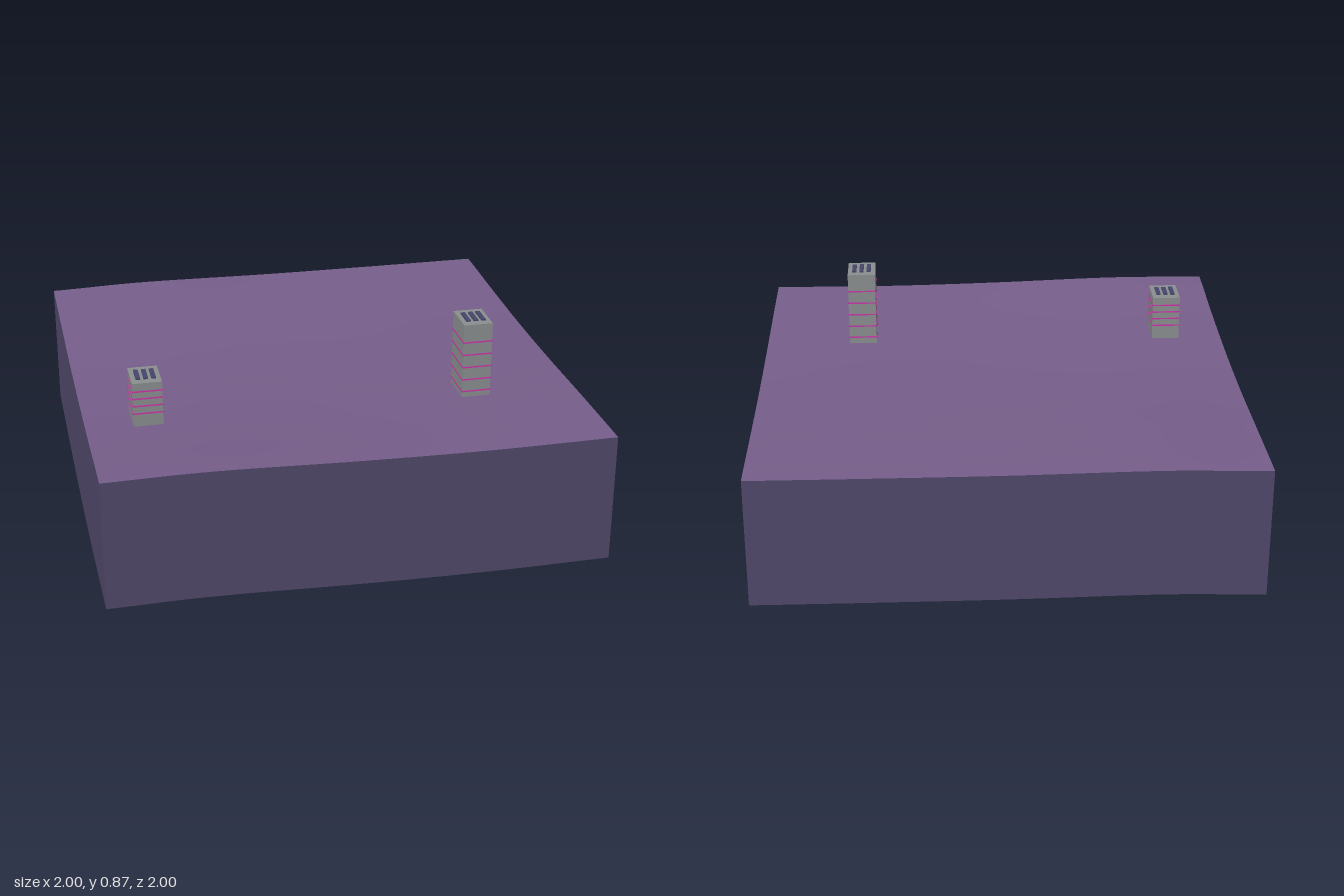
import * as THREE from 'three';

const mat = (name, color, side = THREE.FrontSide) => {
  const m = new THREE.MeshStandardMaterial({ color, side });
  m.name = name;
  return m;
};

// Ground height: profiles running back to front (z = -1 .. 1), blended across x
const THICKNESS = 0.535;
const COLUMNS = [-1, -0.6, 0, 0.5, 1];
const PROFILES = [
  [0.556, 0.546, 0.536, 0.541, 0.560, 0.588],
  [0.565, 0.553, 0.540, 0.544, 0.562, 0.591],
  [0.557, 0.547, 0.539, 0.541, 0.554, 0.573],
  [0.555, 0.546, 0.541, 0.543, 0.554, 0.564],
  [0.555, 0.546, 0.541, 0.546, 0.558, 0.566],
];

function smoothSample(values, t) {
  const i = Math.min(values.length - 2, Math.max(0, Math.floor(t)));
  const at = (k) => values[Math.min(values.length - 1, Math.max(0, k))];
  const f = t - i, p0 = at(i - 1), p1 = at(i), p2 = at(i + 1), p3 = at(i + 2);
  return p1 + 0.5 * f * (p2 - p0 + f * (2 * p0 - 5 * p1 + 4 * p2 - p3 + f * (3 * (p1 - p2) + p3 - p0)));
}

function groundHeight(x, z) {
  const row = PROFILES.map((p) => smoothSample(p, ((z + 1) / 2) * (p.length - 1)));
  let i = 0;
  while (i < COLUMNS.length - 2 && x > COLUMNS[i + 1]) i++;
  return smoothSample(row, i + (x - COLUMNS[i]) / (COLUMNS[i + 1] - COLUMNS[i]));
}

// Gently rolling top surface
function groundGeometry() {
  const g = new THREE.PlaneGeometry(2, 2, 32, 32).rotateX(-Math.PI / 2);
  const p = g.attributes.position;
  for (let i = 0; i < p.count; i++) p.setY(i, groundHeight(p.getX(i), p.getZ(i)));
  g.computeVertexNormals();
  return g;
}

// Wall whose upper and lower rims both follow the ground edge
function wallGeometry(angle) {
  const g = new THREE.PlaneGeometry(2, 1, 32, 1).translate(0, 0.5, 1).rotateY(angle);
  const p = g.attributes.position;
  for (let i = 0; i < p.count; i++) {
    const top = groundHeight(p.getX(i), p.getZ(i));
    p.setY(i, top - (1 - p.getY(i)) * THICKNESS);
  }
  g.computeVertexNormals();
  return g;
}

export function createModel() {
  const model = new THREE.Group();
  model.name = 'groundBlock';
  const ground = mat('purple ground', 0x765e8a, THREE.DoubleSide);
  const earth = mat('dark violet earth', 0x4f486a, THREE.DoubleSide);
  const concrete = mat('grey concrete', 0x8a8e8e);
  const neon = mat('magenta light', 0xc835a8);
  const vent = mat('navy vent', 0x45456b);

  const add = (parent, name, geometry, material, x = 0, y = 0, z = 0) => {
    const mesh = new THREE.Mesh(geometry, material);
    mesh.name = name;
    mesh.position.set(x, y, z);
    parent.add(mesh);
    return mesh;
  };

  add(model, 'groundSurface', groundGeometry(), ground);
  ['frontWall', 'leftWall', 'backWall', 'rightWall'].forEach((name, i) =>
    add(model, name, wallGeometry((i * Math.PI) / 2), earth));

  // Towers: sunk slightly into the ground, ringed by light bands, vents on the roof
  const W = 0.118, D = 0.156;
  const tower = (name, x, z, top, bands) => {
    const group = new THREE.Group();
    group.name = name;
    group.position.set(x, 0, z);
    const base = groundHeight(x, z) - 0.02;
    add(group, 'towerBody', new THREE.BoxGeometry(W, top - base, D), concrete, 0, (top + base) / 2, 0);
    for (const y of bands) {
      add(group, 'lightBand', new THREE.BoxGeometry(W + 0.003, 0.006, D + 0.003), neon, 0, y, 0);
    }
    for (const dx of [-0.031, 0, 0.031]) {
      add(group, 'roofVent', new THREE.BoxGeometry(0.018, 0.006, 0.086), vent, dx, top + 0.003, 0);
    }
    model.add(group);
  };
  tower('tallTower', 0.582, 0.417, 0.866, [0.79, 0.736, 0.682, 0.628, 0.576]);
  tower('shortTower', -0.753, 0.417, 0.739, [0.704, 0.673, 0.642, 0.61]);

  return model;
}
